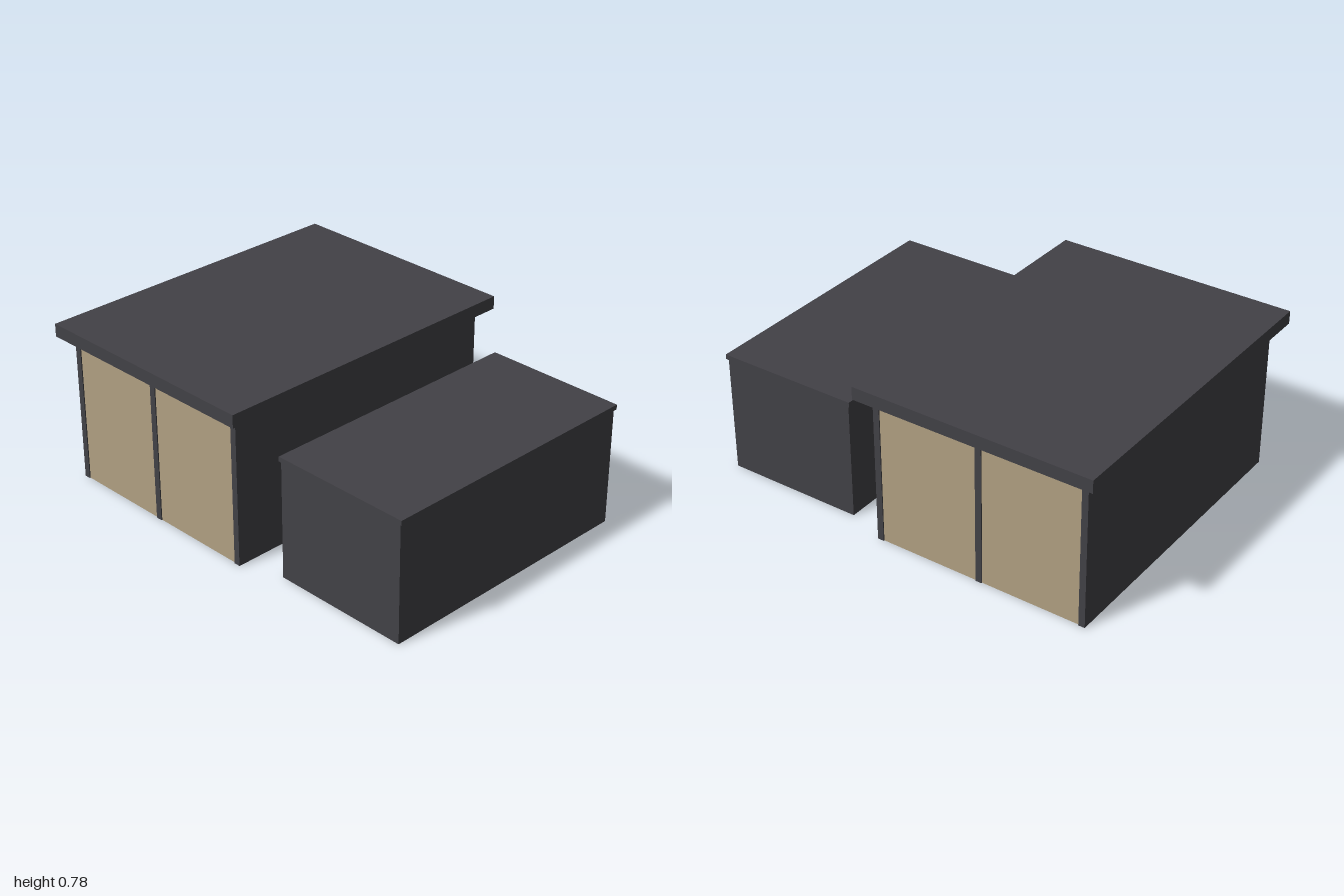
import * as THREE from 'three';

export function createModel() {
  const model = new THREE.Group();
  const grey = new THREE.MeshStandardMaterial({ color: 0x424146 });
  grey.name = 'anthracite grey';
  const beige = new THREE.MeshStandardMaterial({ color: 0xb0a082 });
  beige.name = 'sand beige';
  const brown = new THREE.MeshStandardMaterial({ color: 0x504d49 });
  brown.name = 'dark brown grey';

  // Box given by its lower and upper limits on each axis
  const block = (parent, name, material, [x0, x1], [y0, y1], [z0, z1]) => {
    const mesh = new THREE.Mesh(new THREE.BoxGeometry(x1 - x0, y1 - y0, z1 - z0), material);
    mesh.position.set((x0 + x1) / 2, (y0 + y1) / 2, (z0 + z1) / 2);
    mesh.name = name;
    parent.add(mesh);
  };

  // Large shelter: three long walls, open underneath, with a flat roof
  const shelter = new THREE.Group();
  shelter.name = 'largeShelter';
  model.add(shelter);
  const walls = [[-0.943, -0.912], [-0.43, -0.399], [0.088, 0.119]];
  ['rightWall', 'partition', 'leftWall'].forEach((name, i) =>
    block(shelter, name, grey, walls[i], [0, 0.72], [-0.735, 0.735]));
  block(shelter, 'roof', grey, [-1, 0.176], [0.72, 0.782], [-0.797, 0.797]);

  // Door panels between the walls at both ends
  for (const side of [1, -1]) {
    for (let i = 0; i < 2; i++) {
      const z = [side * 0.722, side * 0.73].sort((a, b) => a - b);
      block(shelter, side > 0 ? 'frontDoor' : 'backDoor', beige,
        [walls[i][1], walls[i + 1][0]], [0, 0.72], z);
    }
  }

  // Small bin: thin walls, open underneath, with a slim lid
  const bin = new THREE.Group();
  bin.name = 'smallBin';
  model.add(bin);
  const t = 0.004, x0 = 0.313, x1 = 0.99, z1 = 0.661, h = 0.567;
  block(bin, 'binRightWall', grey, [x0, x0 + t], [0, h], [-z1, z1]);
  block(bin, 'binLeftWall', grey, [x1 - t, x1], [0, h], [-z1, z1]);
  block(bin, 'binFrontWall', grey, [x0 + t, x1 - t], [0, h], [z1 - t, z1]);
  block(bin, 'binBackWall', grey, [x0 + t, x1 - t], [0, h], [-z1, -z1 + t]);
  block(bin, 'binCeiling', brown, [x0 + t, x1 - t], [h - t, h], [-z1 + t, z1 - t]);
  block(bin, 'binLid', grey, [0.305, 1], [h, 0.59], [-0.667, 0.667]);

  return model;
}
